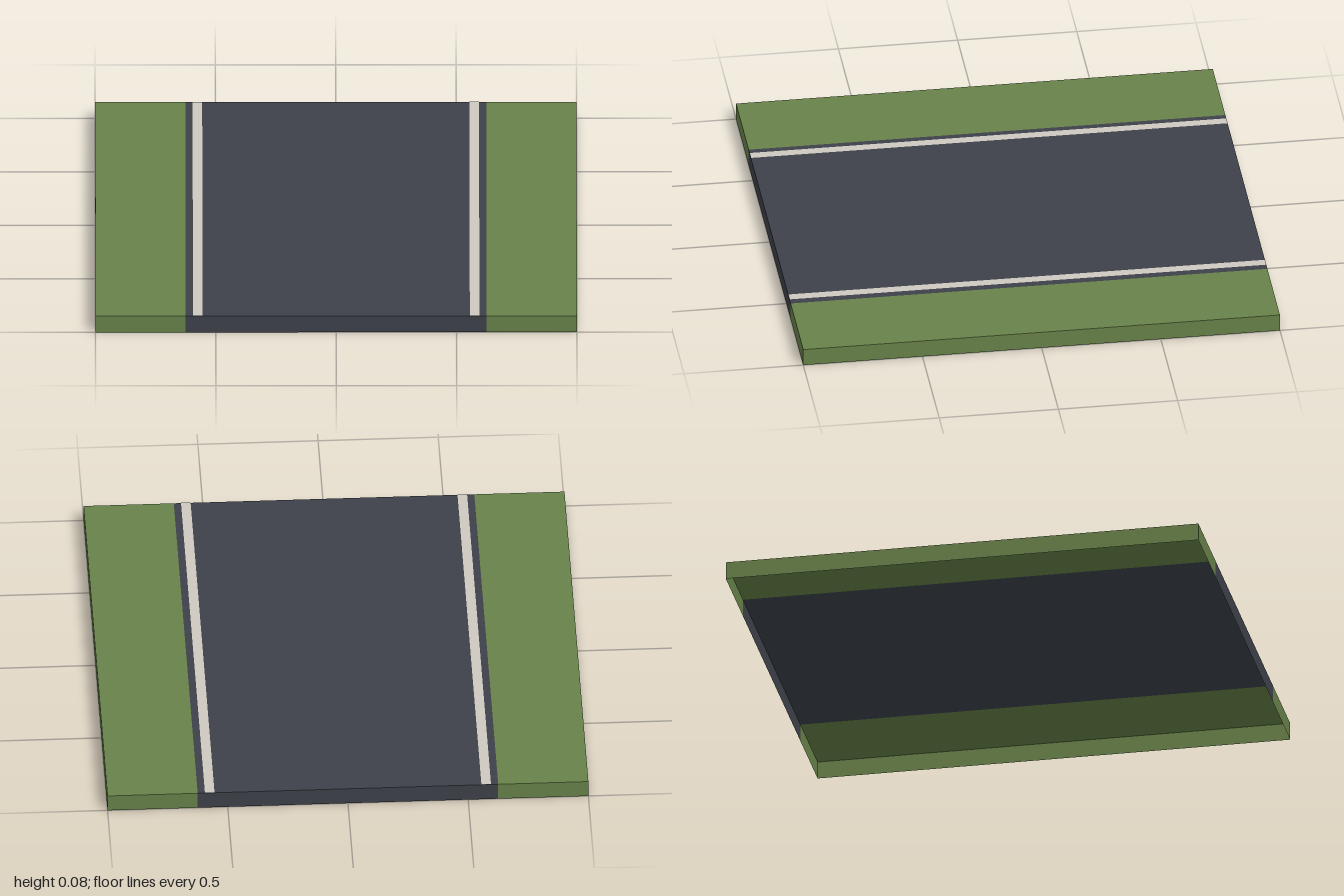
import * as THREE from 'three';

const HEIGHT = 0.075, LENGTH = 2, ROAD_HALF = 0.625;

function material(name, color) {
  const m = new THREE.MeshStandardMaterial({ color, side: THREE.DoubleSide });
  m.name = name;
  return m;
}

function addPanel(group, name, geometry, mat) {
  const mesh = new THREE.Mesh(geometry, mat);
  mesh.name = name;
  group.add(mesh);
}

// Hollow slab between x0 and x1: a top sheet with a skirt at each end, open below
function strip(name, x0, x1, mat) {
  const group = new THREE.Group();
  group.name = name;
  const w = x1 - x0, cx = (x0 + x1) / 2;
  addPanel(group, name + 'Top',
    new THREE.PlaneGeometry(w, LENGTH).rotateX(-Math.PI / 2).translate(cx, HEIGHT, 0), mat);
  addPanel(group, name + 'FrontSkirt',
    new THREE.PlaneGeometry(w, HEIGHT).translate(cx, HEIGHT / 2, LENGTH / 2), mat);
  addPanel(group, name + 'BackSkirt',
    new THREE.PlaneGeometry(w, HEIGHT).rotateY(Math.PI).translate(cx, HEIGHT / 2, -LENGTH / 2), mat);
  return group;
}

export function createModel() {
  const model = new THREE.Group();
  model.name = 'roadTile';
  const asphalt = material('asphalt', 0x3d4149);
  const grass = material('grass', 0x688249);
  const paint = material('linePaint', 0xcdc9c1);

  model.add(strip('road', -ROAD_HALF, ROAD_HALF, asphalt));

  for (const [label, s] of [['left', 1], ['right', -1]]) {
    // Grass verge with its outer side skirt
    const verge = strip(label + 'Verge', Math.min(s * ROAD_HALF, s), Math.max(s * ROAD_HALF, s), grass);
    addPanel(verge, label + 'SideSkirt',
      new THREE.PlaneGeometry(LENGTH, HEIGHT).rotateY(s * Math.PI / 2).translate(s, HEIGHT / 2, 0), grass);
    model.add(verge);

    // Painted edge line, just above the asphalt
    addPanel(model, label + 'EdgeLine',
      new THREE.PlaneGeometry(0.04, LENGTH).rotateX(-Math.PI / 2).translate(s * 0.575, HEIGHT + 0.002, 0), paint);
  }
  // The line's underside stays hidden by the road sheet
  paint.side = THREE.FrontSide;
  return model;
}
